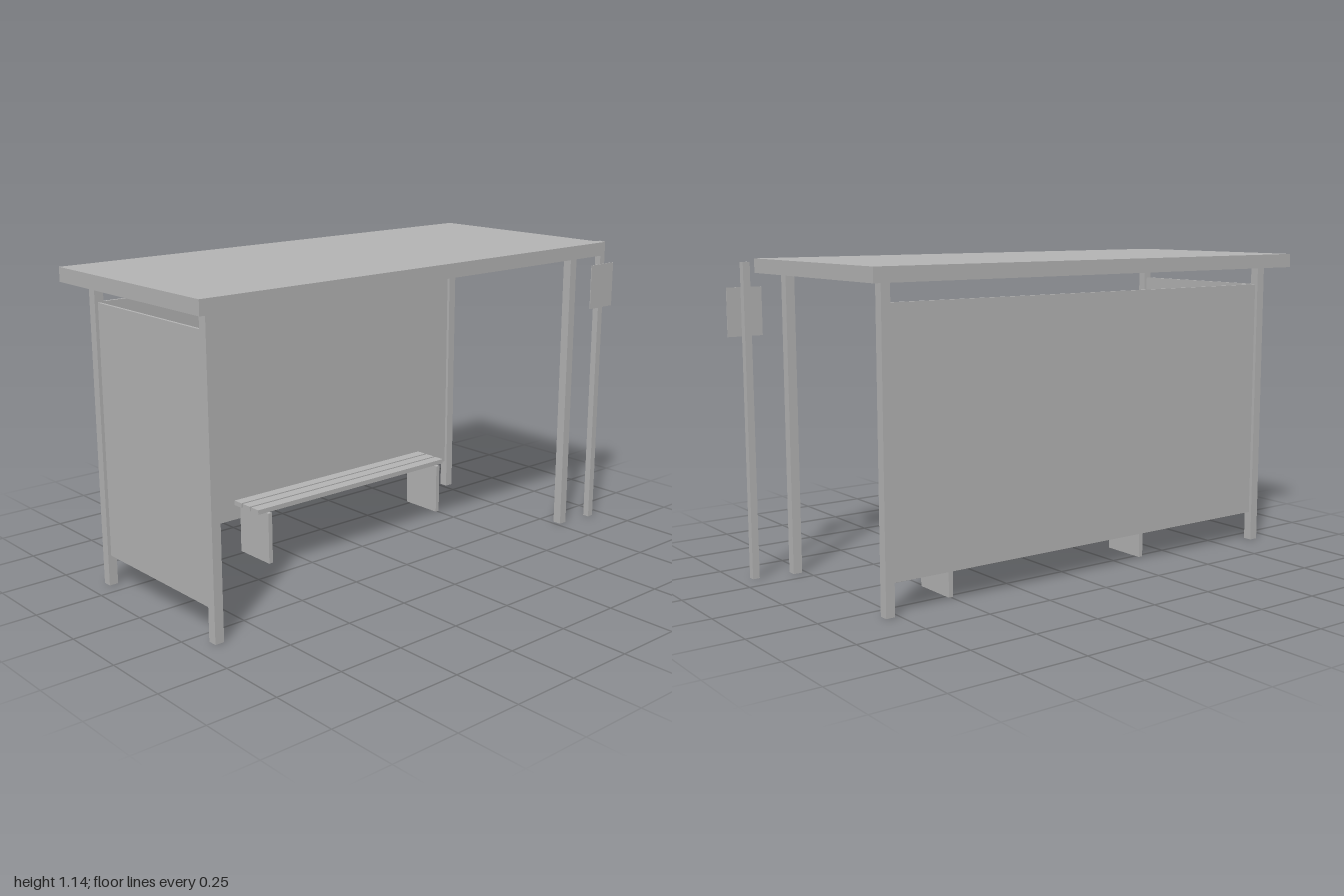
import * as THREE from 'three';

export function createModel() {
  const model = new THREE.Group();
  model.name = 'busShelter';
  const grey = new THREE.MeshStandardMaterial({ color: 0xb4b4b4 });
  grey.name = 'light grey';

  // Box given by its extents on each axis
  const block = (name, [x0, x1], [y0, y1], [z0, z1], parent = model) => {
    const mesh = new THREE.Mesh(new THREE.BoxGeometry(x1 - x0, y1 - y0, z1 - z0), grey);
    mesh.position.set((x0 + x1) / 2, (y0 + y1) / 2, (z0 + z1) / 2);
    mesh.name = name;
    parent.add(mesh);
  };
  const around = (centre, size) => [centre - size / 2, centre + size / 2];

  // Flat roof on four corner posts
  const postX = [-0.914, 0.783], postZ = 0.325, postSize = 0.034;
  block('roof', [-1, 0.868], [1.089, 1.14], [-0.413, 0.413]);
  for (const x of postX) {
    for (const z of [-postZ, postZ]) {
      block('post', around(x, postSize), [0, 1.089], around(z, postSize));
    }
  }

  // Thin wall panels at the back and at one end
  const panelY = [0.111, 1.022];
  block('backPanel', [-0.897, 0.766], panelY, around(-postZ, 0.01));
  block('sidePanel', around(postX[0], 0.01), panelY, [-0.308, 0.308]);

  // Slatted bench on two plank supports
  const bench = new THREE.Group();
  bench.name = 'bench';
  model.add(bench);
  for (const z of [-0.131, -0.183, -0.235]) {
    block('seatSlat', [-0.414, 0.542], [0.197, 0.215], around(z, 0.043), bench);
  }
  for (const x of [-0.37, 0.5]) {
    block('benchSupport', around(x, 0.017), [0, 0.197], [-0.27, -0.095], bench);
  }

  // Free-standing sign beside the shelter
  const sign = new THREE.Group();
  sign.name = 'stopSign';
  model.add(sign);
  block('signPole', around(0.934, 0.026), [0, 1.131], [0.336, 0.361], sign);
  block('signPlate', [0.868, 1], [0.872, 1.044], [0.361, 0.364], sign);

  return model;
}
